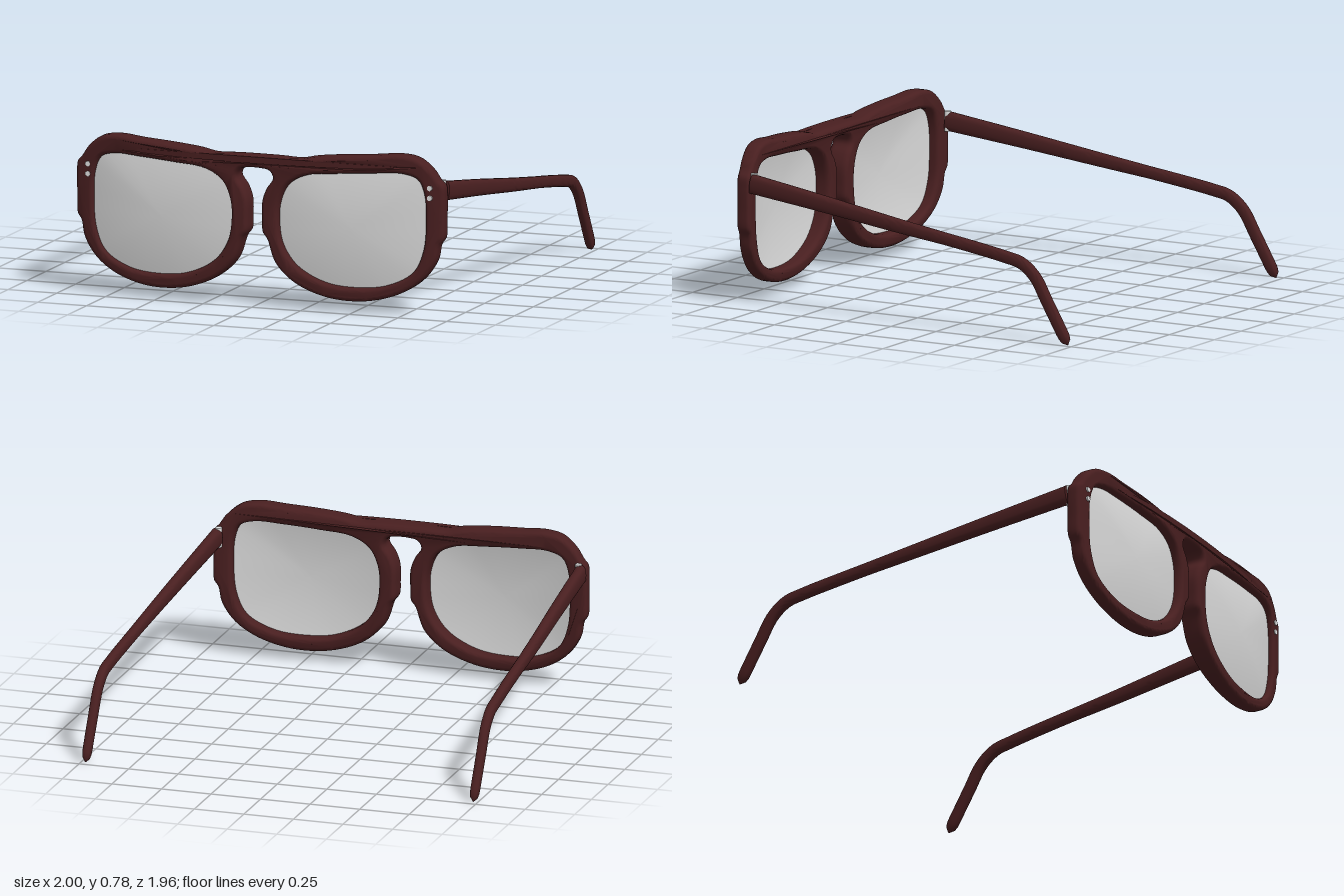
import * as THREE from 'three';
import { mergeVertices, toCreasedNormals } from 'three/addons/utils/BufferGeometryUtils.js';

const mat = (name, color, side = THREE.FrontSide) => {
  const m = new THREE.MeshStandardMaterial({ color, side });
  m.name = name;
  return m;
};

// Wrap of the front: depth t = 0 is the back face, 1 the front face; the lower rims are slimmer
const wrapZ = (x, y, t) => {
  const k = Math.abs(x / 0.93) ** 2.4, low = Math.max(0, (0.36 - y) / 0.3) ** 2;
  return (0.86 - 0.036 * k + 0.02 * low) * (1 - t) + (0.978 - 0.083 * k - 0.008 * low) * t;
};

const smoothLoop = (pts, n) => new THREE.CatmullRomCurve3(
  pts.map(([x, y]) => new THREE.Vector3(x, y, 0)), true).getSpacedPoints(n).slice(0, n)
  .map(p => new THREE.Vector2(p.x, p.y));

// Half outline of the frame, from the bridge top past the end piece and nose pad to the bridge underside
const HALF = [
  [0.1, 0.733], [0.22, 0.73], [0.3, 0.745], [0.45, 0.76], [0.6, 0.77], [0.72, 0.78], [0.81, 0.765],
  [0.88, 0.71], [0.915, 0.66], [0.938, 0.635], [0.943, 0.58], [0.942, 0.48], [0.938, 0.38], [0.918, 0.35],
  [0.9, 0.27], [0.84, 0.18], [0.74, 0.11], [0.61, 0.067], [0.48, 0.055], [0.34, 0.073], [0.2, 0.13],
  [0.105, 0.22], [0.062, 0.335], [0.04, 0.365], [0.036, 0.43], [0.038, 0.52], [0.06, 0.58], [0.092, 0.63],
  [0.075, 0.665], [0.03, 0.675],
];
const OPENING = [
  [0.12, 0.42], [0.128, 0.52], [0.17, 0.605], [0.26, 0.655], [0.42, 0.672], [0.6, 0.684], [0.74, 0.688],
  [0.815, 0.662], [0.846, 0.59], [0.853, 0.47], [0.841, 0.32], [0.79, 0.21], [0.66, 0.14], [0.5, 0.122],
  [0.35, 0.14], [0.21, 0.212], [0.14, 0.31],
];

function frontFrame() {
  const mirrored = HALF.map(([x, y]) => [-x, y]).reverse();
  const shape = new THREE.Shape(smoothLoop([...HALF, ...mirrored], 420).reverse());
  for (const s of [1, -1]) {
    const hole = smoothLoop(OPENING.map(([x, y]) => [s * x, y]), 110);
    shape.holes.push(new THREE.Path(s > 0 ? hole : hole.reverse()));
  }
  const b = 0.028, depth = 0.05, total = depth + 2 * b;
  let geo = new THREE.ExtrudeGeometry(shape, {
    depth, bevelThickness: b, bevelSize: 0.02, bevelOffset: -0.02, bevelSegments: 4,
  });
  const p = geo.attributes.position;
  for (let i = 0; i < p.count; i++) {
    p.setZ(i, wrapZ(p.getX(i), p.getY(i), (p.getZ(i) + b) / total));
  }
  geo.deleteAttribute('normal');
  geo.deleteAttribute('uv');
  geo = mergeVertices(geo, 1e-5);
  return toCreasedNormals(geo, 0.8);
}

// Domed lens made of rings shrinking to the middle
function lens(s) {
  const loop = smoothLoop(OPENING, 80), n = loop.length, rings = 10, pos = [], idx = [];
  for (let r = 0; r <= rings; r++) {
    const k = 1.03 * (1 - r / rings);
    for (const q of loop) {
      const x = 0.49 + (q.x - 0.49) * k, y = 0.41 + (q.y - 0.41) * k;
      pos.push(s * x, y, wrapZ(x, y, 0.65) + 0.025 * (1 - k * k));
    }
  }
  for (let r = 0; r < rings; r++) for (let j = 0; j < n; j++) {
    const a = r * n + j, b = r * n + (j + 1) % n, c = a + n, d = b + n;
    // The opening runs clockwise on the left side, so its winding is turned to face forward
    if (s > 0) idx.push(a, c, b, b, c, d);
    else idx.push(a, b, c, b, d, c);
  }
  const geo = new THREE.BufferGeometry();
  geo.setAttribute('position', new THREE.Float32BufferAttribute(pos, 3));
  geo.setIndex(idx);
  geo.computeVertexNormals();
  return geo;
}

// Temple arm: a rounded section swept back, then down behind the ear
function temple(s) {
  const curve = new THREE.CatmullRomCurve3([
    [0.917, 0.603, 0.82], [0.935, 0.547, 0.4], [0.953, 0.49, 0], [0.966, 0.435, -0.4], [0.974, 0.4, -0.62],
    [0.976, 0.379, -0.71], [0.977, 0.32, -0.785], [0.978, 0.2, -0.857], [0.978, 0.004, -0.97],
  ].map(a => new THREE.Vector3(...a)));
  const steps = 90, n = 20, pos = [], idx = [];
  for (let i = 0; i <= steps; i++) {
    const u = i / steps, p = curve.getPointAt(u), t = curve.getTangentAt(u);
    const end = u > 0.97 ? Math.sqrt(Math.max(0, 1 - ((u - 0.97) / 0.03) ** 2)) : 1;
    const h = (0.047 - 0.018 * Math.min(1, u / 0.55)) * end, w = (0.028 - 0.007 * u) * end;
    const len = Math.hypot(t.y, t.z), ny = -t.z / len, nz = t.y / len;
    for (let j = 0; j < n; j++) {
      const a = j / n * Math.PI * 2, c = Math.cos(a), d = Math.sin(a);
      const cx = Math.sign(c) * Math.abs(c) ** 0.7 * w, cy = Math.sign(d) * Math.abs(d) ** 0.7 * h;
      pos.push(s * p.x + cx, p.y + ny * cy, p.z + nz * cy);
    }
  }
  for (let i = 0; i < steps; i++) for (let j = 0; j < n; j++) {
    const a = i * n + j, b = i * n + (j + 1) % n, c = a + n, d = b + n;
    idx.push(a, c, b, b, c, d);
  }
  for (let j = 1; j < n - 1; j++) idx.push(0, j, j + 1);
  const geo = new THREE.BufferGeometry();
  geo.setAttribute('position', new THREE.Float32BufferAttribute(pos, 3));
  geo.setIndex(idx);
  return toCreasedNormals(geo, 0.9);
}

// Thin ridge along the brow, following the wrap and fading into the rims
function browBar() {
  const box = new THREE.BoxGeometry(1.4, 0.032, 0.036, 48, 1, 1);
  const p = box.attributes.position;
  for (let i = 0; i < p.count; i++) {
    const x = p.getX(i), f = Math.abs(x) / 0.7, y = 0.716 + p.getY(i) * (1 - 0.6 * f * f);
    p.setXYZ(i, x, y, wrapZ(x, y, 1) - 0.017 - 0.008 * f * f + p.getZ(i));
  }
  return toCreasedNormals(box, 0.6);
}

export function createModel() {
  const model = new THREE.Group();
  model.name = 'glasses';
  const frameMat = mat('dark red brown acetate', 0x491f20);
  const lensMat = mat('pale grey lens', 0xd8d8d8, THREE.DoubleSide);
  const metal = mat('silver metal', 0xe0e0e0);
  const add = (name, geo, material, x = 0, y = 0, z = 0) => {
    const m = new THREE.Mesh(geo, material);
    m.name = name;
    m.position.set(x, y, z);
    model.add(m);
    return m;
  };

  add('frontFrame', frontFrame(), frameMat);
  add('browBar', browBar(), frameMat);

  for (const s of [1, -1]) {
    const side = s > 0 ? 'left' : 'right';
    add(side + 'Lens', lens(s), lensMat);
    add(side + 'Temple', temple(s), frameMat);
    // Hinge barrel
    add(side + 'Hinge', new THREE.CylinderGeometry(0.016, 0.016, 0.098, 16), metal, s * 0.908, 0.604, 0.814);
    // Pair of rivets on the front
    for (const y of [0.626, 0.578]) {
      add(side + 'Rivet', new THREE.CylinderGeometry(0.013, 0.013, 0.03, 16), metal, s * 0.877, y, 0.897)
        .rotation.x = Math.PI / 2;
    }
  }
  return model;
}
